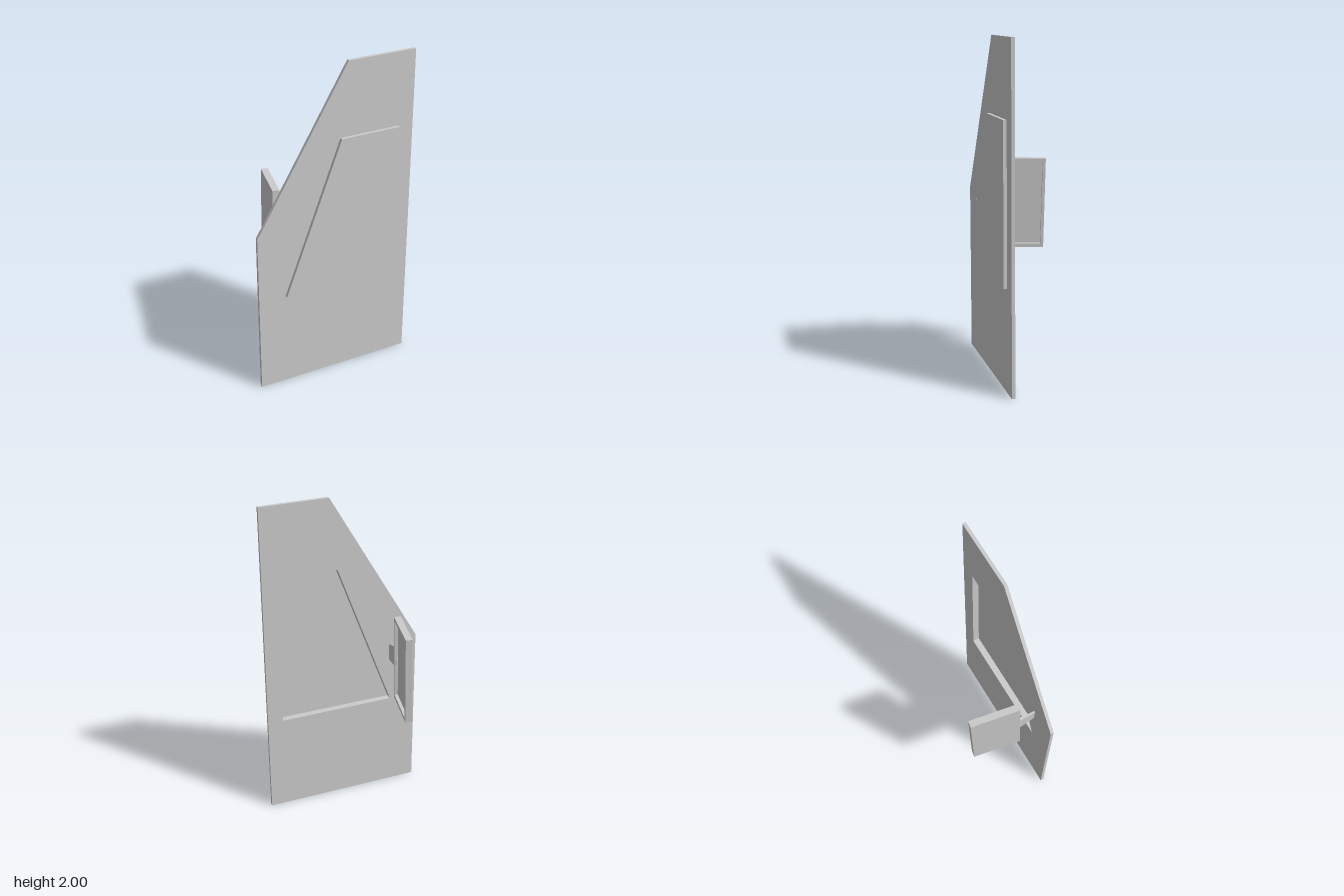
import * as THREE from 'three';

const solid = new THREE.MeshStandardMaterial({ color: 0xcccccc, flatShading: true });
const sheet = new THREE.MeshStandardMaterial({ color: 0xcccccc, flatShading: true, side: THREE.DoubleSide });

const points = (list) => list.map(([x, y]) => new THREE.Vector2(x, y));

function addMesh(parent, name, geometry, material = solid) {
  const mesh = new THREE.Mesh(geometry, material);
  mesh.name = name;
  parent.add(mesh);
  return mesh;
}

function extrude(shape, depth, z) {
  return new THREE.ExtrudeGeometry(shape, { depth, bevelEnabled: false }).translate(0, 0, z);
}

// Open band that follows an outline between two depths
function band(outline, z0, z1) {
  const pos = [];
  outline.forEach((a, i) => {
    const b = outline[(i + 1) % outline.length];
    pos.push(a.x, a.y, z0, b.x, b.y, z0, b.x, b.y, z1);
    pos.push(a.x, a.y, z0, b.x, b.y, z1, a.x, a.y, z1);
  });
  const g = new THREE.BufferGeometry();
  g.setAttribute('position', new THREE.Float32BufferAttribute(pos, 3));
  g.computeVertexNormals();
  return g;
}

const rect = (x0, y0, x1, y1) => points([[x0, y0], [x1, y0], [x1, y1], [x0, y1]]);

export function createModel() {
  const model = new THREE.Group();
  model.name = 'doorWithMirror';

  // Door panel with the window opening
  const windowOutline = points([[-0.322, 0.615], [0.393, 0.615], [0.393, 1.557], [0.027, 1.557]]);
  const panel = new THREE.Shape(points([[-0.49, 0], [0.488, 0], [0.488, 2], [0.073, 2], [-0.488, 1.04]]));
  panel.holes.push(new THREE.Path(windowOutline));
  addMesh(model, 'doorPanel', extrude(panel, 0.02, 0.18));

  // Window: a shallow tray standing proud of the front, hollow behind
  const pane = new THREE.ShapeGeometry(new THREE.Shape(windowOutline)).translate(0, 0, 0.22);
  addMesh(model, 'windowPane', pane, sheet);
  addMesh(model, 'windowRim', band(windowOutline, 0.18, 0.22), sheet);

  // Mirror arm: a box tapering towards the door
  const arm = new THREE.BoxGeometry(1, 1, 1);
  const p = arm.attributes.position;
  for (let i = 0; i < p.count; i++) {
    const atDoor = p.getZ(i) > 0, left = p.getX(i) > 0, top = p.getY(i) > 0;
    const x = atDoor ? (left ? -0.31 : -0.317) : (left ? -0.309 : -0.326);
    const y = atDoor ? (top ? 1.0 : 0.9) : (top ? 1.04 : 0.895);
    p.setXYZ(i, x, y, atDoor ? 0.2005 : 0.06);
  }
  arm.computeVertexNormals();
  addMesh(model, 'mirrorArm', arm);

  // Mirror: back shell and raised frame around the recessed glass
  const mirror = new THREE.Group();
  mirror.name = 'mirror';
  const w = 0.148, h = 0.281, t = 0.0205;
  addMesh(mirror, 'mirrorShell', new THREE.BoxGeometry(2 * w, 2 * h, t).translate(0, 0, -t / 2));
  const frame = new THREE.Shape(rect(-w, -h, w, h));
  frame.holes.push(new THREE.Path(rect(-w + 0.012, -h + 0.022, w - 0.018, h - 0.022)));
  addMesh(mirror, 'mirrorFrame', extrude(frame, t, 0));

  // Swing and lean of the mirror
  const across = new THREE.Vector3(0.057, -0.007, -0.29).normalize();
  const face = across.clone().cross(new THREE.Vector3(0.016, 0.563, -0.008)).normalize();
  const up = face.clone().cross(across);
  mirror.quaternion.setFromRotationMatrix(new THREE.Matrix4().makeBasis(across, up, face));
  mirror.position.set(-0.289, 0.961, -0.073);
  model.add(mirror);

  return model;
}
